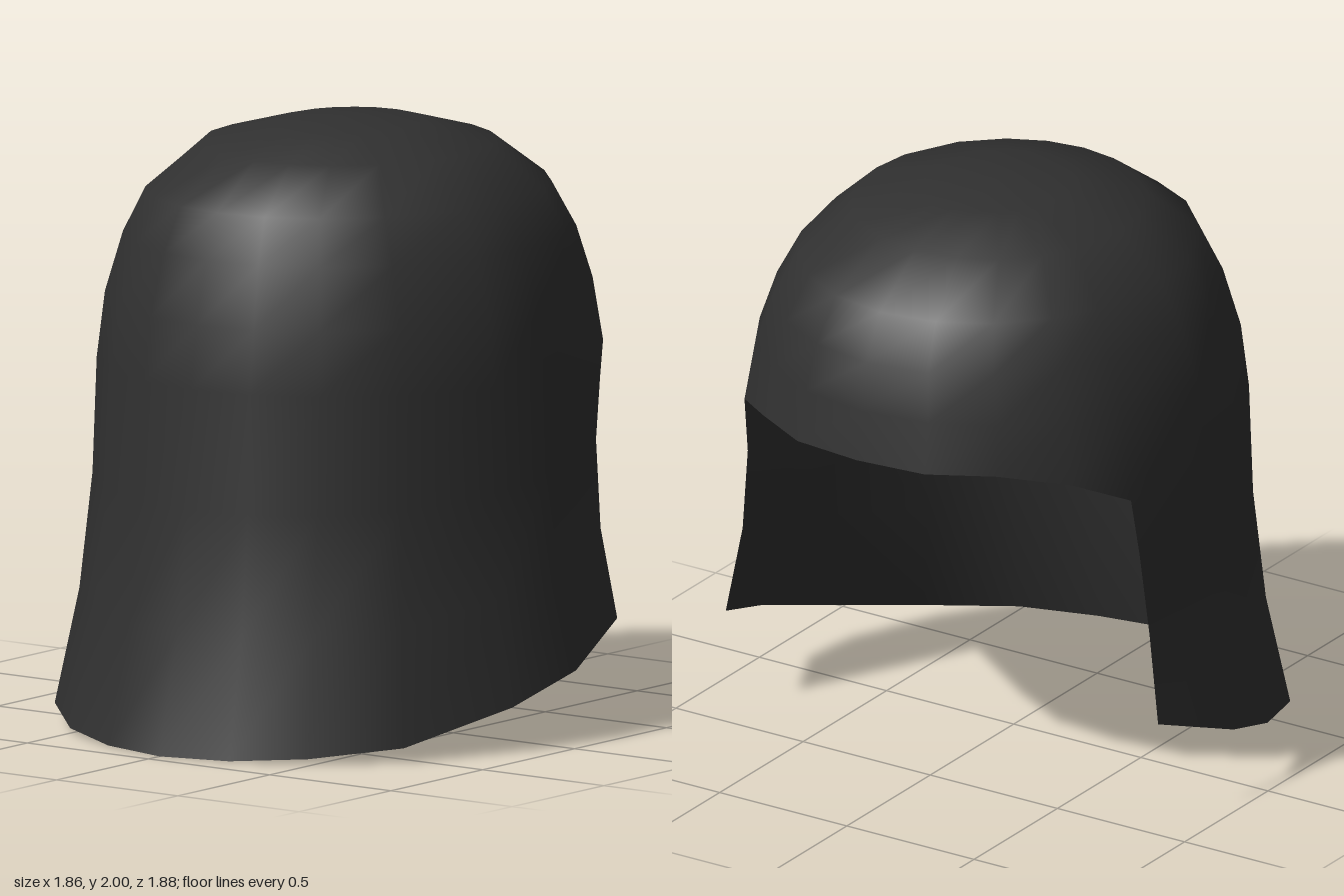
import * as THREE from 'three';

const CENTER_Z = -0.09;

// Half of the rim, from the middle of the front (+z) round the +x side to the middle of the back
const RIM = [
  [0, 0, 0.94], [0.25, 0.003, 0.89], [0.49, 0.02, 0.78], [0.72, 0.05, 0.56],
  [0.88, 0.15, 0.18], [0.93, 0.24, -0.1], [0.85, 0.36, -0.43],
  [0.64, 1.24, -0.63], [0.46, 1.29, -0.8], [0.25, 1.29, -0.915], [0, 1.29, -0.94],
];
const SIDE = 6; // column of the upright edge of the opening
const HALF = RIM.length - 1;
const COLUMNS = HALF * 2;

// Crown rings: height at front, height at back, half width, front z, back z
const RINGS = [
  [1.98, 1.98, 0.24, 0.18, -0.35],
  [1.915, 1.915, 0.48, 0.42, -0.59],
  [1.77, 1.77, 0.64, 0.625, -0.8],
  [1.62, 1.62, 0.72, 0.69, -0.885],
  [1.41, 1.46, 0.785, 0.74, -0.92],
];

// Points down one column, from the first crown ring to the rim
function columnPoints(j) {
  const [rx, ry, rz] = RIM[j];
  const back = j >= SIDE;
  let angle = Math.atan2(rx / 0.93, (rz + 0.1) / 1.04);
  if (back) angle = Math.atan2(rx / 0.8, (rz - CENTER_Z) / 0.85);
  if (j === SIDE) angle = Math.atan2(0.93, -0.42);
  const u = Math.sin(angle), w = Math.cos(angle);
  const place = (y, a, front, rear) =>
    [a * u, y, CENTER_Z + w * (w > 0 ? front - CENTER_Z : CENTER_Z - rear)];

  const points = RINGS.map(([yf, yb, a, front, rear]) =>
    place(THREE.MathUtils.lerp(yf, yb, (1 - w) / 2), a, front, rear));

  if (j > SIDE) {
    // the brim ends here, so there is no skirt below
    for (let k = 0; k < 4; k++) points.push(RIM[j]);
  } else if (j === SIDE) {
    points.push([0.76, 1.15, -0.455], [0.77, 0.95, -0.42], [0.8, 0.66, -0.405], RIM[j]);
  } else {
    // flared skirt
    const top = place(1.2, 0.81, 0.77, -0.94);
    points.push(top);
    for (const [drop, flare] of [[1 / 3, 0.1], [2 / 3, 0.41], [1, 1]]) {
      points.push([
        THREE.MathUtils.lerp(top[0], rx, flare),
        THREE.MathUtils.lerp(top[1], ry, drop),
        THREE.MathUtils.lerp(top[2], rz, flare),
      ]);
    }
  }
  return points;
}

function shellGeometry() {
  const positions = [0, 2, CENTER_Z];
  const index = [];
  const rows = RINGS.length + 4;
  const brimRow = RINGS.length;

  // columns run all the way round, the second half mirrored
  for (let j = 0; j < COLUMNS; j++) {
    const mirrored = j > HALF;
    for (const [x, y, z] of columnPoints(mirrored ? COLUMNS - j : j)) {
      positions.push(mirrored ? -x : x, y, z);
    }
  }

  const id = (row, j) => 1 + (j % COLUMNS) * rows + row;
  for (let j = 0; j < COLUMNS; j++) {
    index.push(0, id(0, j), id(0, j + 1));
    const hasSkirt = j < SIDE || j >= COLUMNS - SIDE;
    const last = hasSkirt ? rows - 1 : brimRow;
    for (let r = 0; r < last; r++) {
      const a = id(r, j), b = id(r + 1, j), c = id(r + 1, j + 1), d = id(r, j + 1);
      index.push(a, b, d, b, c, d);
    }
  }

  const geometry = new THREE.BufferGeometry();
  geometry.setAttribute('position', new THREE.Float32BufferAttribute(positions, 3));
  geometry.setIndex(index);
  geometry.computeVertexNormals();
  return geometry;
}

export function createModel() {
  const charcoal = new THREE.MeshStandardMaterial({ color: 0x303030, side: THREE.DoubleSide });
  charcoal.name = 'charcoal';

  const shell = new THREE.Mesh(shellGeometry(), charcoal);
  shell.name = 'helmetShell';

  const model = new THREE.Group();
  model.name = 'helmet';
  model.add(shell);
  return model;
}
